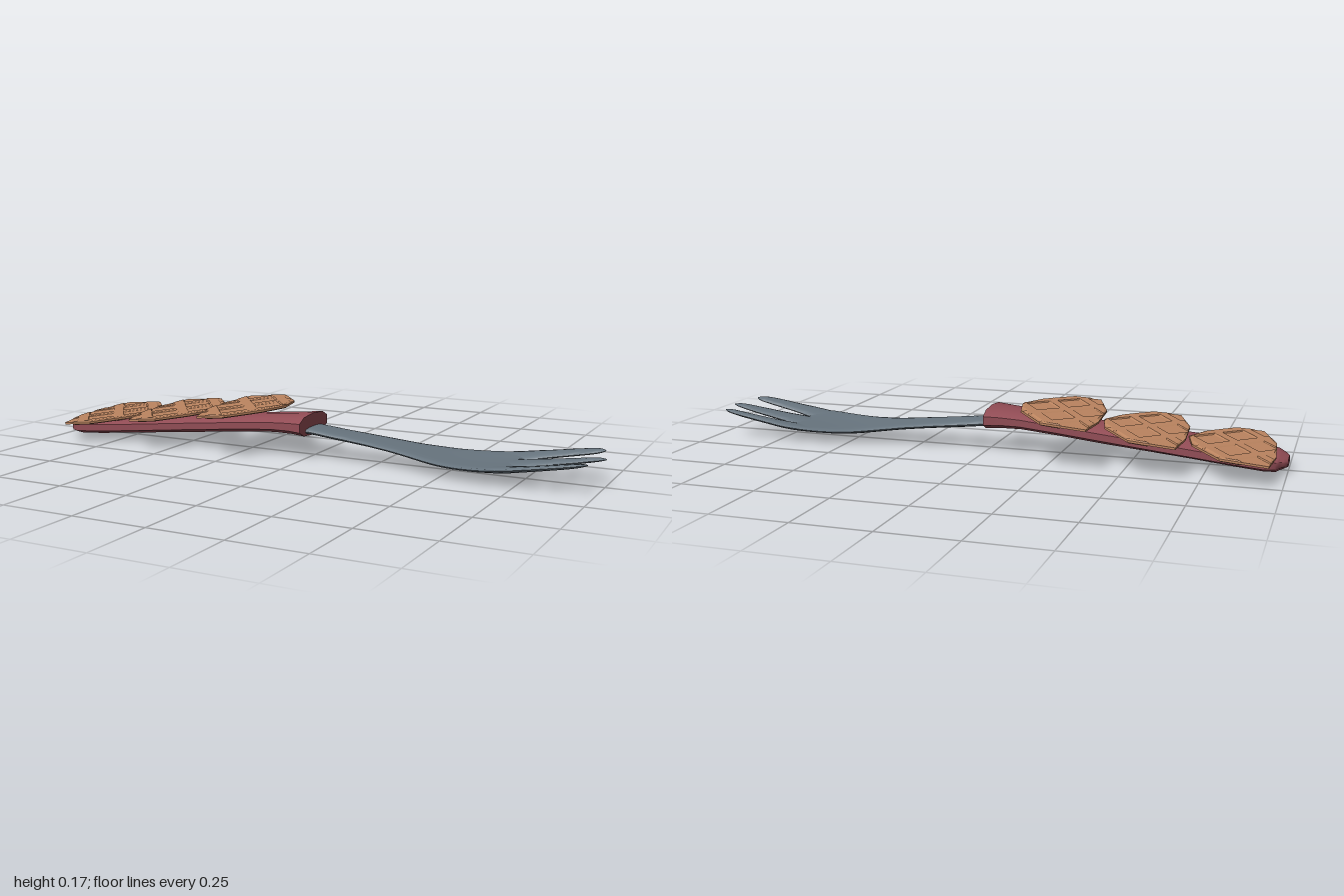
import * as THREE from 'three';
import { toCreasedNormals } from 'three/addons/utils/BufferGeometryUtils.js';

const handleRed = new THREE.MeshStandardMaterial({ color: 0x924c55 });
handleRed.name = 'handle red';
const steel = new THREE.MeshStandardMaterial({ color: 0x68757f });
steel.name = 'steel grey';
const waffleBrown = new THREE.MeshStandardMaterial({ color: 0xbc8560 });
waffleBrown.name = 'waffle brown';

// Closed loft along x. Stations are [x, y, halfHeight, z, halfWidth].
function loft(stations, sides, power, steps, crease, bend) {
  const centre = new THREE.CatmullRomCurve3(stations.map(s => new THREE.Vector3(s[0], s[1], s[3])));
  const size = new THREE.CatmullRomCurve3(stations.map(s => new THREE.Vector3(s[0], s[2], s[4])));
  // both curves use the same plain parameter, so sizes stay matched to stations
  centre.curveType = size.curveType = 'catmullrom';
  const pos = [], index = [];
  const soft = v => Math.sign(v) * Math.pow(Math.abs(v), power);
  const add = (x, y, z) => pos.push(x, y + (bend ? bend(x, z) : 0), z);
  for (let i = 0; i <= steps; i++) {
    const c = centre.getPoint(i / steps), s = size.getPoint(i / steps);
    for (let j = 0; j < sides; j++) {
      const a = j / sides * Math.PI * 2;
      add(c.x, c.y + s.y * soft(Math.cos(a)), c.z + s.z * soft(Math.sin(a)));
    }
  }
  for (let i = 0; i < steps; i++) {
    for (let j = 0; j < sides; j++) {
      const a = i * sides + j, b = i * sides + (j + 1) % sides;
      index.push(a, b, a + sides, b, b + sides, a + sides);
    }
  }
  // end caps
  for (const end of [0, 1]) {
    const c = centre.getPoint(end), mid = pos.length / 3, base = end * steps * sides;
    add(c.x, c.y, c.z);
    for (let j = 0; j < sides; j++) {
      const a = base + j, b = base + (j + 1) % sides;
      if (end) index.push(mid, a, b);
      else index.push(mid, b, a);
    }
  }
  const g = new THREE.BufferGeometry();
  g.setAttribute('position', new THREE.Float32BufferAttribute(pos, 3));
  g.setIndex(index);
  return toCreasedNormals(g, crease);
}

function addMesh(parent, name, geometry, material) {
  const m = new THREE.Mesh(geometry, material);
  m.name = name;
  parent.add(m);
  return m;
}

// Keeps the part of a polygon where nx*x + ny*y <= d
function clip(points, nx, ny, d) {
  const out = [];
  points.forEach((p, i) => {
    const q = points[(i + 1) % points.length];
    const dp = nx * p.x + ny * p.y - d, dq = nx * q.x + ny * q.y - d;
    if (dp <= 0) out.push(p);
    if (dp * dq < 0) out.push(p.clone().lerp(q, dp / (dp - dq)));
  });
  return out;
}

// Flat plate lying in the xz plane, centred on y = 0
function plate(points, height, bevel) {
  const g = new THREE.ExtrudeGeometry(new THREE.Shape(points), {
    depth: height - (bevel ? 0.008 : 0), bevelEnabled: bevel,
    bevelThickness: 0.004, bevelSize: 0.008, bevelOffset: -0.008, bevelSegments: 1,
  });
  g.rotateX(Math.PI / 2);
  g.translate(0, height / 2 - (bevel ? 0.004 : 0), 0);
  return g;
}

function createWaffle() {
  const waffle = new THREE.Group();
  const outline = [[-0.137, -0.235], [0.013, -0.235], [0.115, -0.107], [0.14, 0], [0.104, 0.096],
    [0.02, 0.216], [-0.08, 0.232], [-0.135, 0.08], [-0.148, -0.1]].map(p => new THREE.Vector2(...p));
  addMesh(waffle, 'waffleSlab', plate(outline, 0.007, false), waffleBrown);
  // crossed diagonal ridges trimmed to the outline
  for (const side of [1, -1]) {
    const nx = Math.sin(0.92), ny = side * Math.cos(0.92);
    for (const d of [-0.14, -0.01, 0.12]) {
      const strip = clip(clip(outline, nx, ny, d + 0.024), -nx, -ny, -d + 0.024);
      if (strip.length > 2) addMesh(waffle, 'waffleRidge', plate(strip, 0.014, true), waffleBrown);
    }
  }
  return waffle;
}

export function createModel() {
  const model = new THREE.Group();
  model.name = 'waffleFork';

  // Handle
  addMesh(model, 'handle', loft([
    [-1, 0.03, 0.014, 0.01, 0.045], [-0.975, 0.031, 0.025, 0.012, 0.08],
    [-0.93, 0.032, 0.031, 0.016, 0.115], [-0.7, 0.055, 0.03, 0.02, 0.122],
    [-0.4, 0.081, 0.03, 0.01, 0.092], [-0.12, 0.108, 0.03, 0.014, 0.09],
    [0, 0.112, 0.038, 0.013, 0.107],
  ], 10, 0.8, 12, 0.85), handleRed);

  // Three waffles stepping up the handle
  for (let i = 0; i < 3; i++) {
    const w = createWaffle();
    w.name = 'waffle' + (i + 1);
    w.position.set(-0.82 + i * 0.2835, 0.0755 + i * 0.0365, 0);
    w.rotation.z = 0.085;
    model.add(w);
  }

  // Fork head: side curve plus a slight dish across the width
  const heights = [0.092, 0.082, 0.072, 0.061, 0.048, 0.037, 0.035, 0.041, 0.056, 0.073, 0.089];
  const curve = new THREE.SplineCurve(heights.map((y, i) => new THREE.Vector2(i / 10, y)));
  const bend = (x, z) => curve.getPoint(THREE.MathUtils.clamp(x, 0, 1)).y + 0.5 * z * z;

  addMesh(model, 'forkBody', loft([
    [-0.02, 0, 0.013, 0.01, 0.062], [0.1, 0, 0.012, 0.008, 0.066], [0.23, 0, 0.011, 0.005, 0.074],
    [0.35, 0, 0.011, 0.004, 0.088], [0.45, 0, 0.012, 0.005, 0.115], [0.55, 0, 0.012, 0.007, 0.14],
    [0.65, 0, 0.012, 0.008, 0.154], [0.7, 0, 0.01, 0.008, 0.152], [0.725, 0, 0.005, 0.008, 0.148],
  ], 16, 0.85, 32, 1, bend), steel);

  addMesh(model, 'middleTine', loft([
    [0.6, 0, 0.009, 0, 0.06], [0.72, 0, 0.011, 0, 0.058], [0.8, 0, 0.01, 0, 0.044],
    [0.9, 0, 0.008, 0, 0.033], [0.97, 0, 0.006, 0, 0.021], [1, 0, 0.002, 0, 0.005],
  ], 12, 0.9, 20, 1, bend), steel);

  for (const side of [1, -1]) {
    const z = v => side > 0 ? v : -v + 0.008;
    addMesh(model, side > 0 ? 'frontTine' : 'backTine', loft([
      [0.6, 0, 0.008, z(0.1), 0.046], [0.72, 0, 0.01, z(0.112), 0.047], [0.8, 0, 0.009, z(0.12), 0.036],
      [0.9, 0, 0.008, z(0.123), 0.028], [0.95, 0, 0.006, z(0.121), 0.02], [0.972, 0, 0.002, z(0.119), 0.005],
    ], 12, 0.9, 20, 1, bend), steel);
  }
  return model;
}
